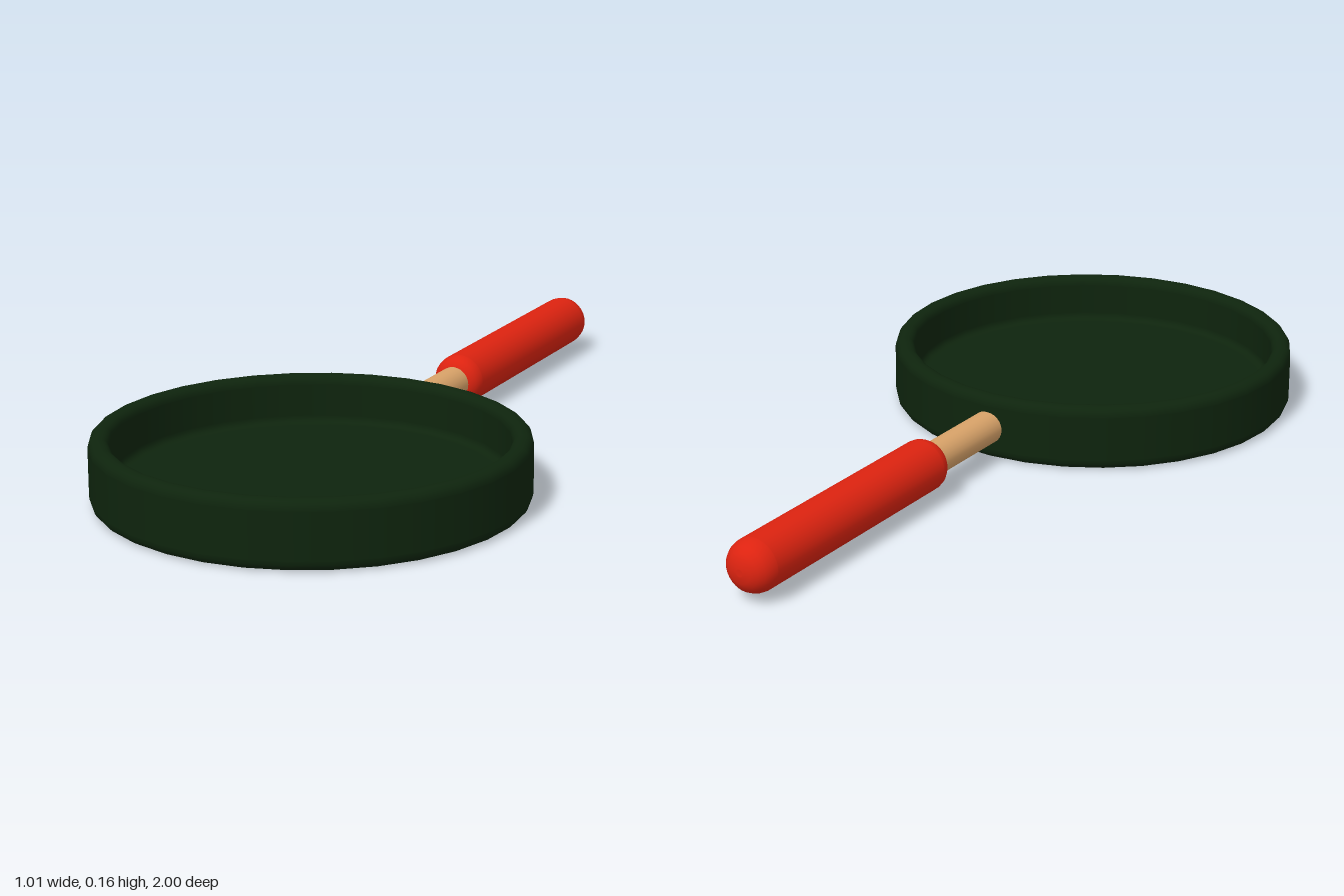
import * as THREE from 'three';

// Profile through [radius, height, cornerRadius] points, with rounded corners
function roundedProfile(corners, steps = 5) {
  const pts = [];
  corners.forEach(([x, y, r = 0], i) => {
    const p = new THREE.Vector2(x, y);
    if (!r) { pts.push(p); return; }
    const toward = (j) => new THREE.Vector2(corners[j][0], corners[j][1]).sub(p).normalize();
    const a = toward(i - 1), b = toward(i + 1);
    const centre = p.clone().addScaledVector(a, r).addScaledVector(b, r);
    // short flat lead-in and lead-out keep the broad faces evenly shaded
    pts.push(p.clone().addScaledVector(a, r + 0.002));
    for (let k = 0; k <= steps; k++) {
      const t = (k / steps) * Math.PI / 2;
      pts.push(centre.clone().addScaledVector(b, -r * Math.cos(t)).addScaledVector(a, -r * Math.sin(t)));
    }
    pts.push(p.clone().addScaledVector(b, r + 0.002));
  });
  return pts;
}

export function createModel() {
  const group = new THREE.Group();
  const material = (name, color) => {
    const m = new THREE.MeshStandardMaterial({ color });
    m.name = name;
    return m;
  };
  const darkGreen = material('dark green', 0x0e240d);
  const tan = material('tan', 0xd9a369);
  const red = material('red', 0xdd2310);

  const add = (name, geometry, mat, y, z) => {
    const mesh = new THREE.Mesh(geometry, mat);
    mesh.name = name;
    mesh.position.set(0, y, z);
    group.add(mesh);
  };

  // Shallow pan with a rounded rim and a recessed floor
  const panProfile = roundedProfile([
    [0, 0], [0.507, 0, 0.024], [0.507, 0.16, 0.022],
    [0.459, 0.16, 0.02], [0.459, 0.042, 0.016], [0, 0.042],
  ]);
  add('pan', new THREE.LatheGeometry(panProfile, 32), darkGreen, 0, 0.493);

  // Rod running from the pan wall into the grip
  const rod = new THREE.CylinderGeometry(0.041, 0.041, 0.3, 24).rotateX(-Math.PI / 2);
  add('handleRod', rod, tan, 0.081, -0.135);

  // Grip with rounded ends, the far end fuller
  const gripProfile = roundedProfile([
    [0, 0], [0.064, 0, 0.04], [0.064, 0.745, 0.054], [0, 0.745],
  ]);
  const grip = new THREE.LatheGeometry(gripProfile, 32).rotateX(-Math.PI / 2);
  add('handleGrip', grip, red, 0.081, -0.255);

  return group;
}
